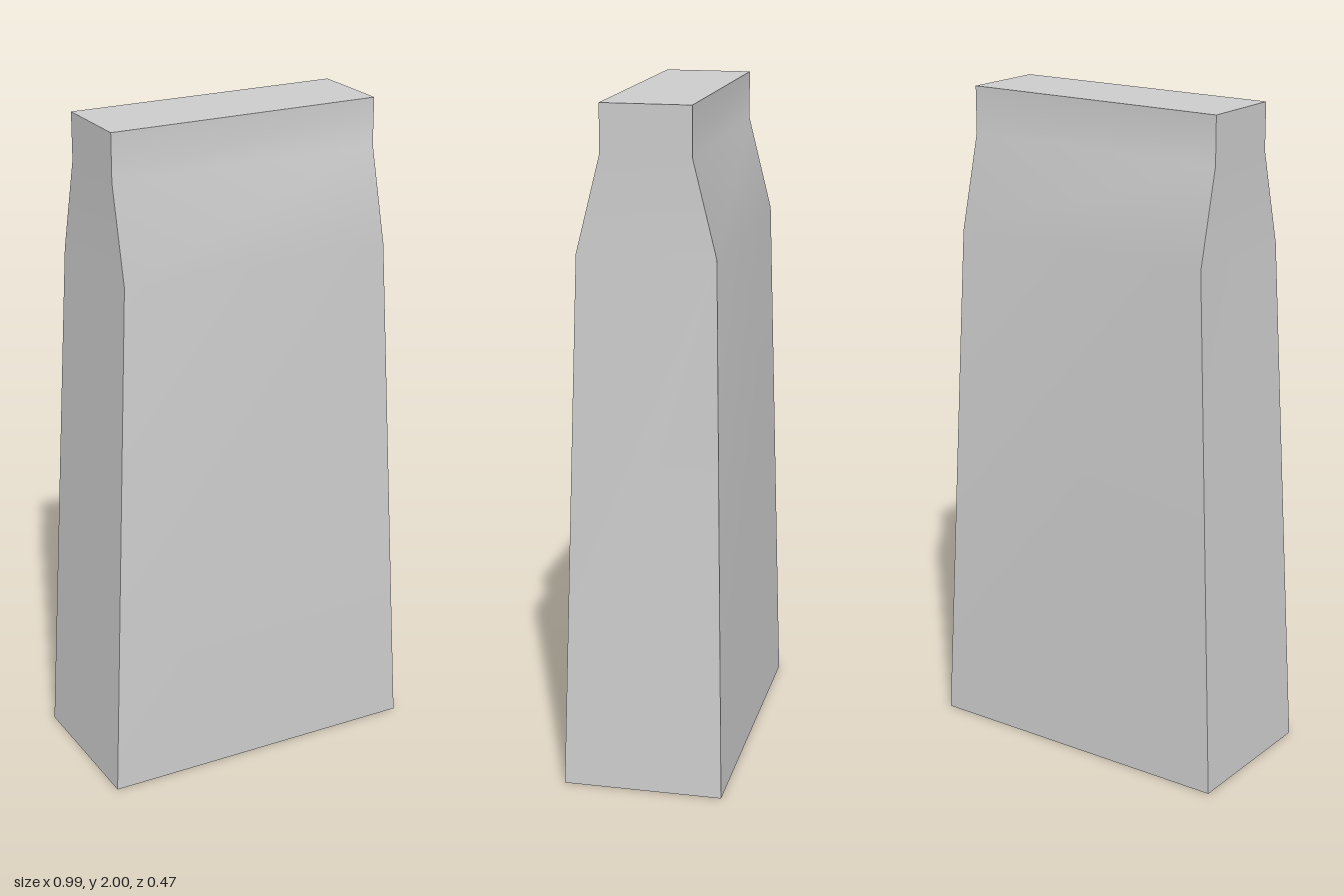
import * as THREE from 'three';

// Half width and half depth at each height, bottom to top
const SECTIONS = [
  { y: 0, x: 0.495, z: 0.236 },
  { y: 1.58, x: 0.42, z: 0.2 },
  { y: 1.86, x: 0.418, z: 0.13 },
  { y: 2, x: 0.418, z: 0.13 },
];

export function createModel() {
  const group = new THREE.Group();
  group.name = 'taperedBlock';

  // A box cut into three storeys, each ring fitted to its section
  const last = SECTIONS.length - 1;
  const geometry = new THREE.BoxGeometry(2, last, 2, 1, last, 1);
  const pos = geometry.attributes.position;
  for (let i = 0; i < pos.count; i++) {
    const s = SECTIONS[Math.round(pos.getY(i) + last / 2)];
    pos.setXYZ(i, pos.getX(i) * s.x, s.y, pos.getZ(i) * s.z);
  }
  // Each box side has its own vertices, so corners stay sharp and bends smooth
  geometry.computeVertexNormals();

  const body = new THREE.Mesh(geometry, new THREE.MeshStandardMaterial({ color: 0xcccccc }));
  body.name = 'body';
  group.add(body);
  return group;
}
